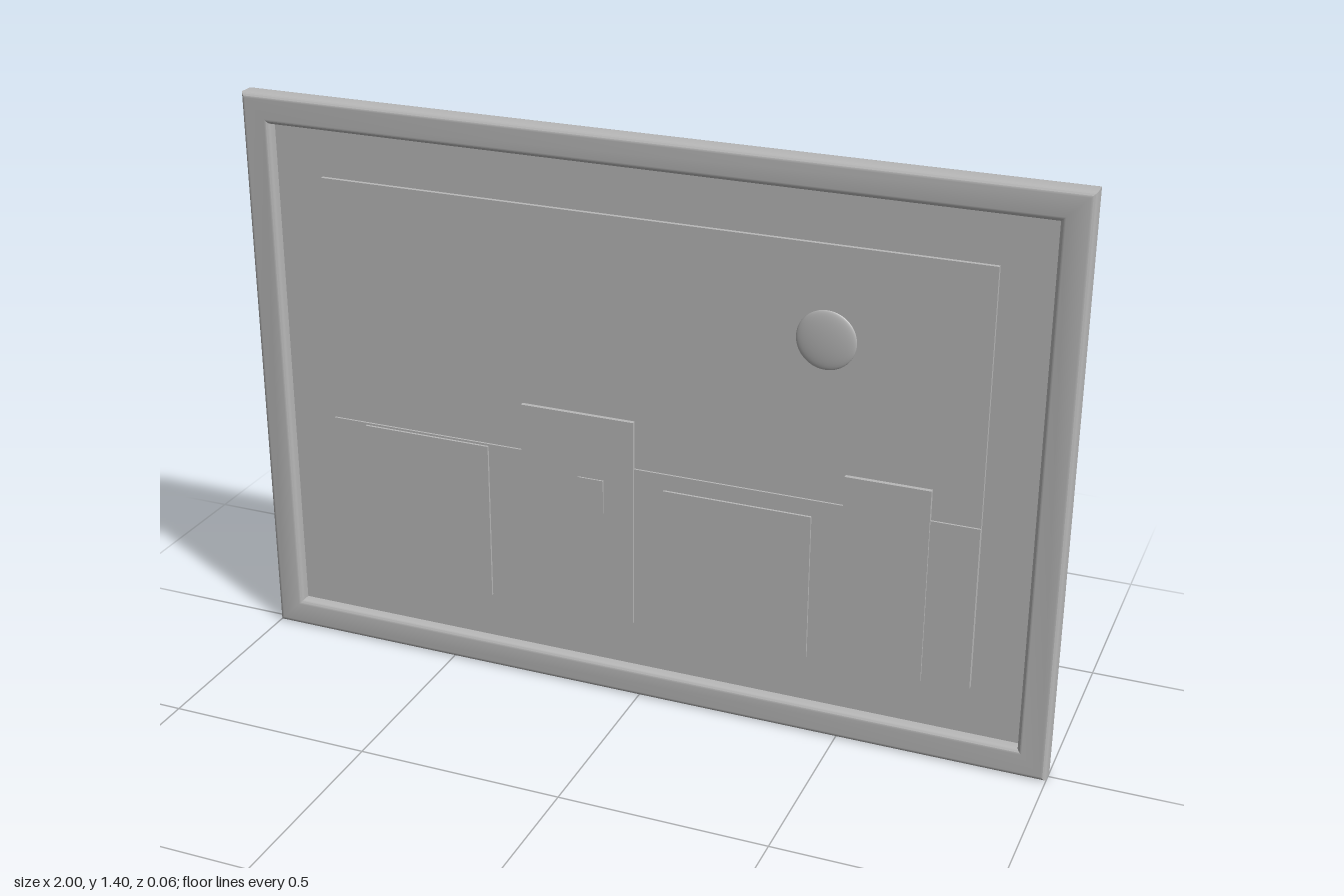
import * as THREE from 'three';
import { toCreasedNormals } from 'three/addons/utils/BufferGeometryUtils.js';

const grey = new THREE.MeshStandardMaterial({ color: 0xb8b8b8 });
grey.name = 'plain grey';

// Box given by its edges: left, right, bottom, top, back, front
function slab(name, x0, x1, y0, y1, z0, z1) {
  const mesh = new THREE.Mesh(new THREE.BoxGeometry(x1 - x0, y1 - y0, z1 - z0), grey);
  mesh.position.set((x0 + x1) / 2, (y0 + y1) / 2, (z0 + z1) / 2);
  mesh.name = name;
  return mesh;
}

function rectangle(path, x, y0, y1) {
  path.moveTo(-x, y0);
  path.lineTo(x, y0);
  path.lineTo(x, y1);
  path.lineTo(-x, y1);
  path.closePath();
  return path;
}

// Softly rounded moulding, recessed at front and back
function makeFrame() {
  const depth = 0.056, bevel = 0.012;
  const shape = rectangle(new THREE.Shape(), 1, 0, 1.4);
  shape.holes.push(rectangle(new THREE.Path(), 0.929, 0.071, 1.329));
  const geometry = new THREE.ExtrudeGeometry(shape, {
    depth: depth - 2 * bevel,
    bevelEnabled: true,
    bevelThickness: bevel,
    bevelSize: bevel,
    bevelOffset: -bevel,
    bevelSegments: 4,
  });
  geometry.translate(0, 0, bevel - depth / 2);
  const mesh = new THREE.Mesh(toCreasedNormals(geometry, 0.6), grey);
  mesh.name = 'frame';
  return mesh;
}

export function createModel() {
  const model = new THREE.Group();
  model.name = 'framedPicture';
  model.add(makeFrame());

  // Backing and raised picture
  model.add(slab('backing', -0.935, 0.935, 0.065, 1.335, -0.012, 0));
  model.add(slab('pictureBoard', -0.808, 0.808, 0.195, 1.21, -0.001, 0.01));
  model.add(slab('groundBand', -0.808, 0.808, 0.195, 0.6, 0.009, 0.015));

  // Skyline blocks: left, right, top
  const skyline = new THREE.Group();
  skyline.name = 'skyline';
  [
    [-0.72, -0.39, 0.595],
    [-0.3, -0.015, 0.72],
    [0.06, 0.42, 0.56],
    [0.495, 0.695, 0.675],
  ].forEach(([left, right, top], i) => {
    skyline.add(slab('building' + (i + 1), left, right, 0.195, top, 0.009, 0.021));
  });
  skyline.add(slab('window', -0.155, -0.09, 0.475, 0.56, 0.02, 0.025));
  model.add(skyline);

  // Shallow domed sun
  const sun = new THREE.Mesh(new THREE.SphereGeometry(0.07, 40, 20), grey);
  sun.scale.z = 0.14;
  sun.position.set(0.438, 0.99, 0.01);
  sun.name = 'sun';
  model.add(sun);

  return model;
}
